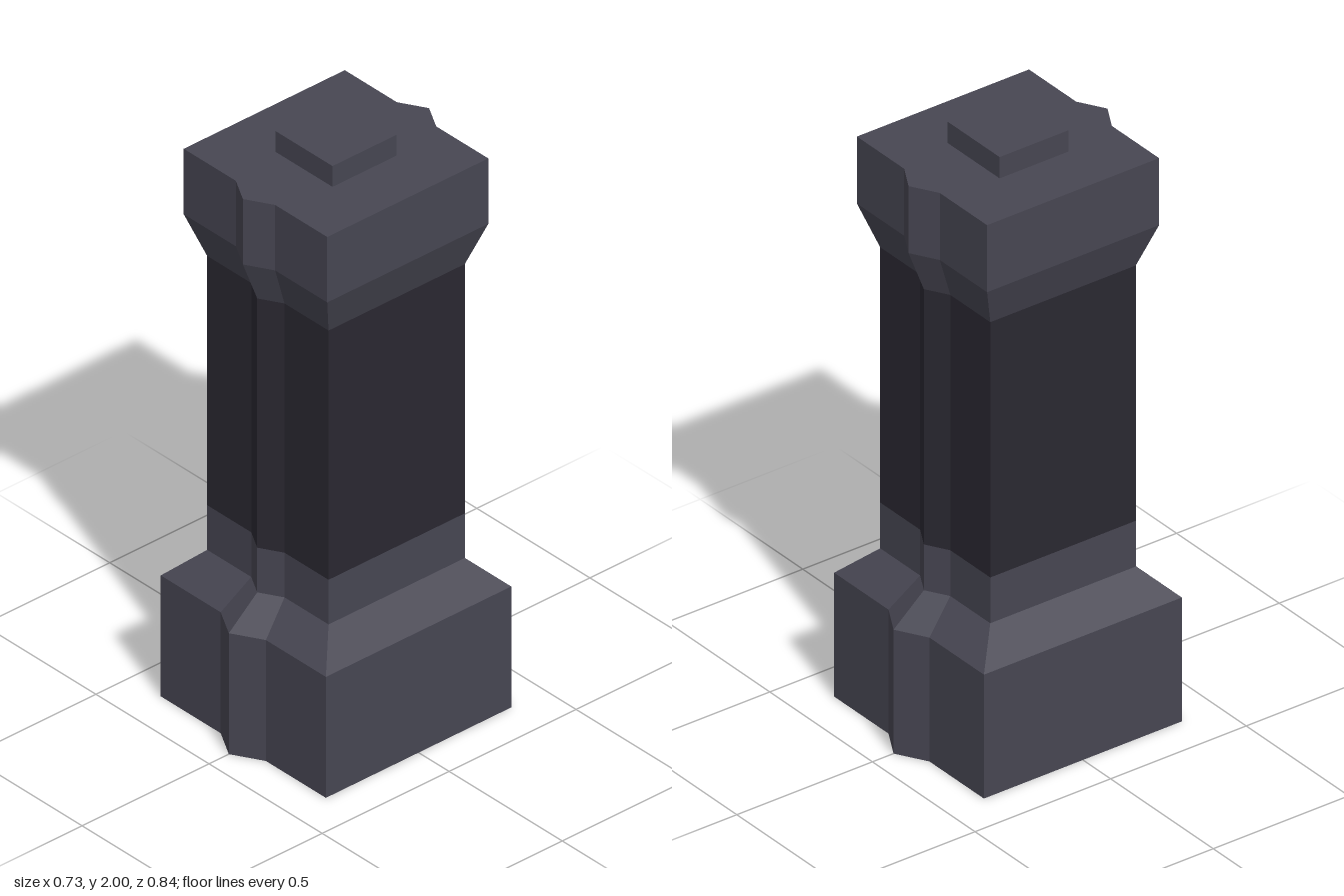
import * as THREE from 'three';

// Square outline with a pointed ridge in the middle of the front and back
function outline(s) {
  const w = 0.365 * s, b = 0.1 * s, r = 0.422 * s;
  return [[-w, w], [-b, w], [0, r], [b, w], [w, w], [w, -w], [b, -w], [0, -r], [-b, -w], [-w, -w]];
}

// Joins scaled outlines at [height, scale] levels, with optional end caps
function loft(name, levels, material, capBottom, capTop) {
  const positions = [];
  const tri = (...corners) => corners.forEach((c) => positions.push(...c));
  const rings = levels.map(([y, s]) => outline(s).map(([x, z]) => [x, y, z]));
  const n = rings[0].length;
  for (let i = 0; i < n; i++) {
    const j = (i + 1) % n;
    for (let k = 0; k < rings.length - 1; k++) {
      const low = rings[k], high = rings[k + 1];
      tri(low[i], low[j], high[j]);
      tri(low[i], high[j], high[i]);
    }
    const first = rings[0], last = rings[rings.length - 1];
    if (capBottom) tri([0, first[0][1], 0], first[j], first[i]);
    if (capTop) tri([0, last[0][1], 0], last[i], last[j]);
  }
  const geometry = new THREE.BufferGeometry();
  geometry.setAttribute('position', new THREE.Float32BufferAttribute(positions, 3));
  geometry.computeVertexNormals();
  const mesh = new THREE.Mesh(geometry, material);
  mesh.name = name;
  return mesh;
}

export function createModel() {
  const group = new THREE.Group();
  group.name = 'pillar';
  const stone = new THREE.MeshStandardMaterial({ color: 0x474652, flatShading: true });
  const darkStone = new THREE.MeshStandardMaterial({ color: 0x2a2831, flatShading: true });
  const neck = 0.735, crown = 0.869;

  // Plinth with sloped shoulder and collar, dark shaft, flared capital
  group.add(loft('base', [[0, 1], [0.425, 1], [0.52, neck], [0.677, neck]], stone, true, false));
  group.add(loft('shaft', [[0.677, neck], [1.553, neck]], darkStone, false, false));
  group.add(loft('capital', [[1.553, neck], [1.697, crown], [1.927, crown]], stone, false, true));

  // Square block on top
  const block = new THREE.Mesh(new THREE.BoxGeometry(0.253, 0.073, 0.253), stone);
  block.name = 'topBlock';
  block.position.y = 1.9635;
  group.add(block);
  return group;
}
